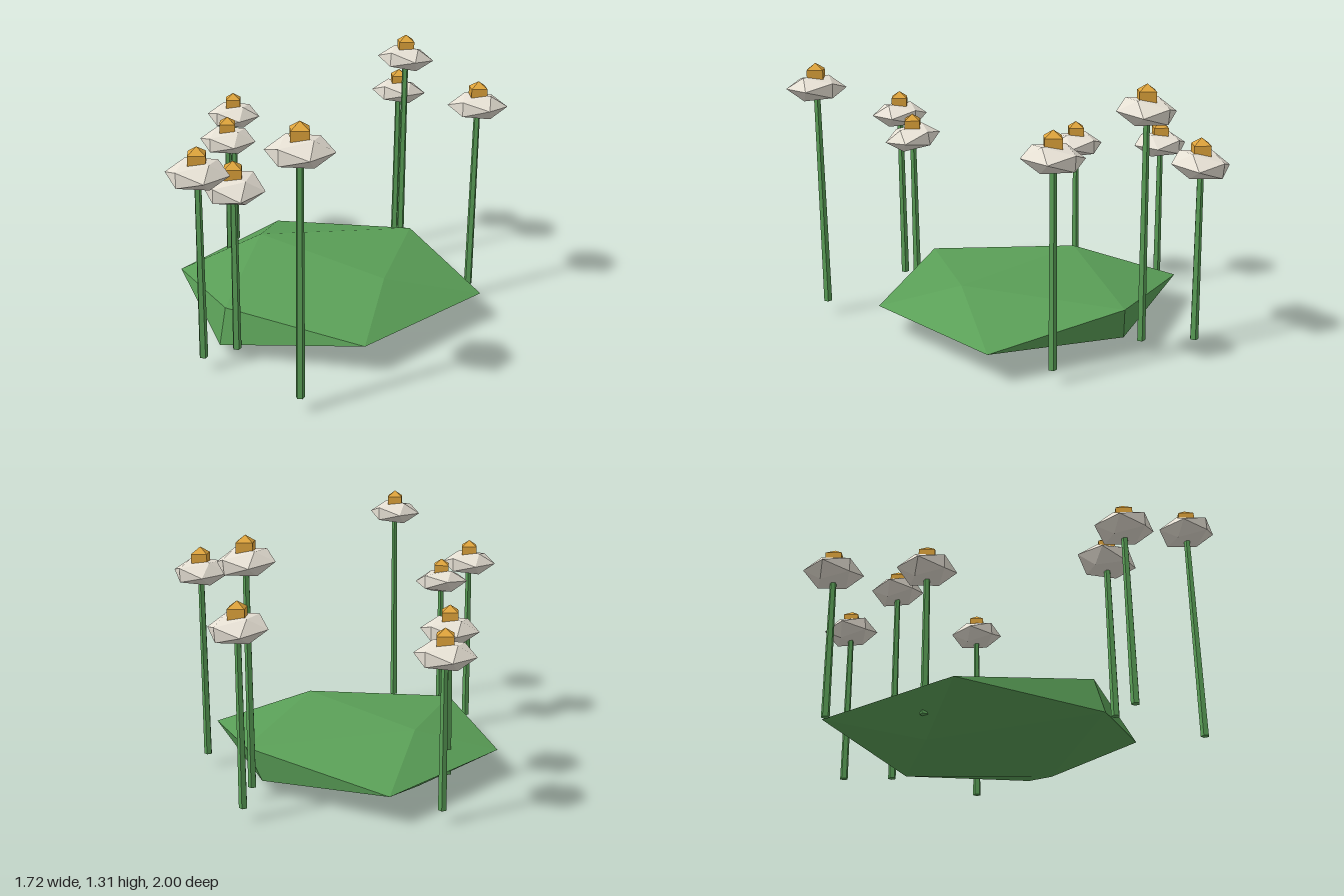
import * as THREE from 'three';

const mat = (name, color) => {
  const m = new THREE.MeshStandardMaterial({ color, flatShading: true });
  m.name = name;
  return m;
};

function part(name, geometry, material, x = 0, y = 0, z = 0) {
  const mesh = new THREE.Mesh(geometry, material);
  mesh.name = name;
  mesh.position.set(x, y, z);
  return mesh;
}

// Irregular flattened icosahedron: twelve corners joined by the regular face pattern
function moundGeometry() {
  const corners = [
    -0.30, 0.295, 0.03, 0.54, 0.30, 0.03, -0.33, 0.005, 0.03, 0.52, 0.015, 0.03,
    0.12, 0.065, 0.73, 0.11, 0.237, 0.68, 0.10, 0.075, -0.62, 0.16, 0.245, -0.67,
    0.81, 0.155, -0.405, 0.74, 0.155, 0.41, -0.605, 0.155, -0.415, -0.51, 0.155, 0.41,
  ];
  const faces = [
    0, 11, 5, 0, 5, 1, 0, 1, 7, 0, 7, 10, 0, 10, 11,
    1, 5, 9, 5, 11, 4, 11, 10, 2, 10, 7, 6, 7, 1, 8,
    3, 9, 4, 3, 4, 2, 3, 2, 6, 3, 6, 8, 3, 8, 9,
    4, 9, 5, 2, 4, 11, 6, 2, 10, 8, 6, 7, 9, 8, 1,
  ];
  const g = new THREE.BufferGeometry();
  g.setAttribute('position', new THREE.Float32BufferAttribute(corners, 3));
  g.setIndex(faces);
  const flat = g.toNonIndexed();
  flat.computeVertexNormals();
  return flat;
}

export function createModel() {
  const model = new THREE.Group();
  model.name = 'flowerBush';
  const green = mat('leafGreen', 0x5a9f57);
  const white = mat('petalCream', 0xe6e0d4);
  const gold = mat('centreGold', 0xe0a53c);

  model.add(part('mound', moundGeometry(), green));

  const petalGeometry = new THREE.IcosahedronGeometry(0.147, 0).scale(1, 0.46, 1);
  const centreGeometry = new THREE.SphereGeometry(0.064, 4, 3);
  const stemBase = 0.075;

  // x, z, height of the head, tilt about x, tilt about z
  const flowers = [
    [-0.735, -0.205, 0.815, 0, 0],
    [-0.43, 0.13, 0.815, 0, 0],
    [-0.11, -0.88, 0.932, -0.1, 0.03],
    [0.07, -0.70, 1.182, -0.1, 0],
    [0.16, 0.87, 0.968, 0, 0],
    [0.215, 0.71, 0.875, 0.08, -0.12],
    [0.73, 0.83, 1.192, 0, 0.02],
    [0.60, -0.605, 1.045, -0.04, 0.05],
  ];
  for (const [x, z, y, rx, rz] of flowers) {
    const flower = new THREE.Group();
    flower.name = 'flower';
    flower.position.set(x, 0, z);
    const length = y - stemBase;
    const stem = new THREE.CylinderGeometry(0.016, 0.021, length, 5);
    flower.add(part('stem', stem, green, 0, stemBase + length / 2, 0));
    const petals = part('petals', petalGeometry, white, 0, y, 0);
    petals.rotation.set(rx, 0, rz);
    flower.add(petals);
    flower.add(part('flowerCentre', centreGeometry, gold, 0, y + 0.061, 0));
    model.add(flower);
  }
  return model;
}
